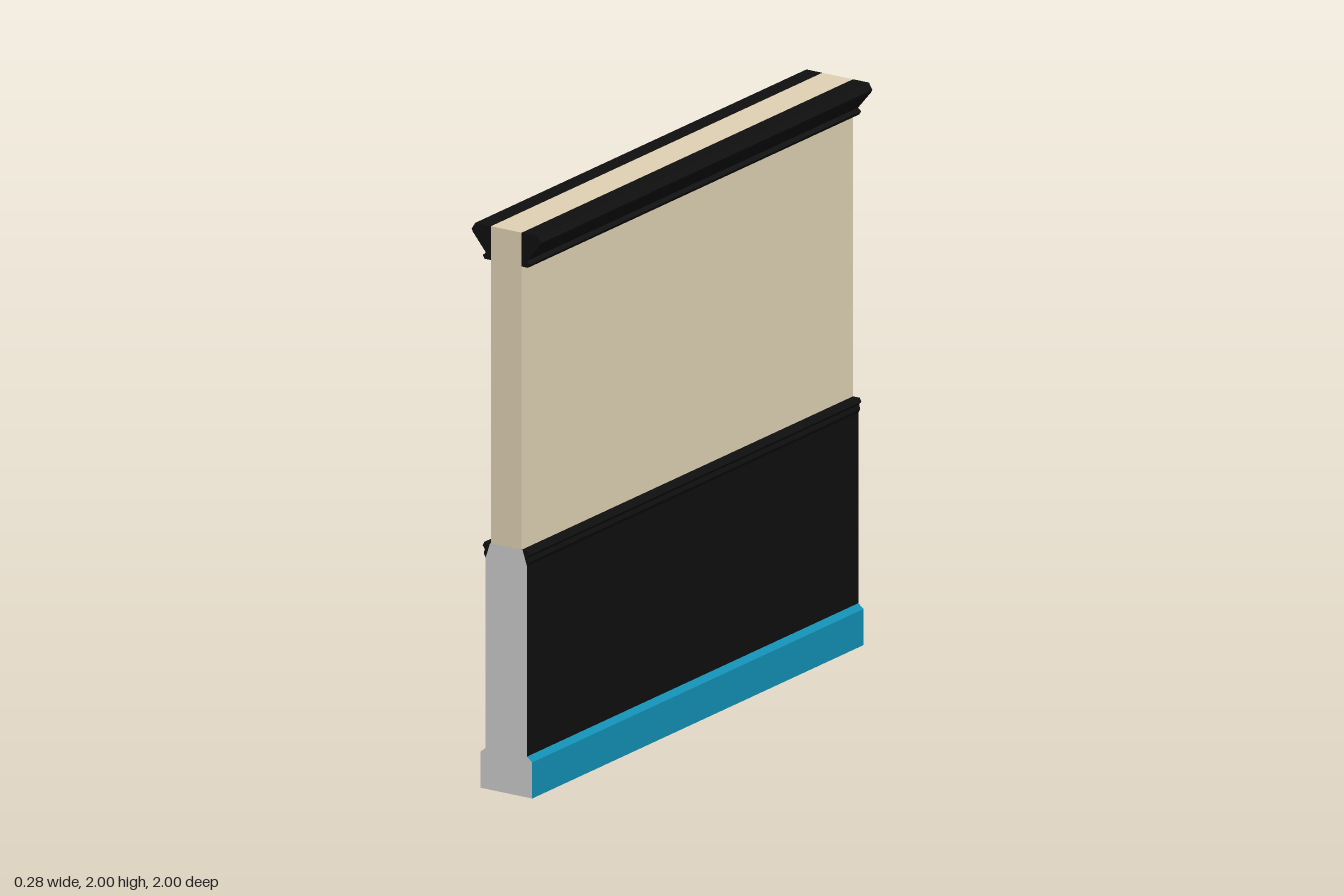
import * as THREE from 'three';

const LENGTH = 2;
const paint = (color) => new THREE.MeshStandardMaterial({ color });

// Extrudes an x/y cross-section along the length of the wall
function extrudeProfile(name, points, material) {
  const shape = new THREE.Shape(points.map(([x, y]) => new THREE.Vector2(x, y)));
  const geometry = new THREE.ExtrudeGeometry(shape, { depth: LENGTH, bevelEnabled: false });
  geometry.translate(0, 0, -LENGTH / 2);
  const mesh = new THREE.Mesh(geometry, material);
  mesh.name = name;
  return mesh;
}

// Closes a right-hand outline into a symmetrical cross-section
const mirrored = (half) => [...half, ...half.map(([x, y]) => [-x, y]).reverse()];

export function createModel() {
  const group = new THREE.Group();
  group.name = 'wallSection';

  const cream = paint(0xdfd1b4);
  const black = paint(0x0f0f0f);
  const teal = paint(0x118fb3);
  const grey = paint(0xcccccc);

  // Upper wall panel
  group.add(extrudeProfile('upperWall',
    mirrored([[0.0625, 0.875], [0.0625, 2]]), cream));

  // Lower panelling, tapered at the top, with bare grey ends
  group.add(extrudeProfile('lowerPanel',
    mirrored([[0.084, 0.14], [0.084, 0.82], [0.066, 0.875]]), [grey, black]));

  // Skirting with a chamfered top edge and bare grey ends
  group.add(extrudeProfile('skirting',
    mirrored([[0.105, 0], [0.105, 0.128], [0.084, 0.145]]), [grey, teal]));

  // Mouldings on both faces
  const crown = [[0.0625, 2], [0.127, 2], [0.141, 1.977], [0.136, 1.967], [0.083, 1.903],
    [0.096, 1.892], [0.088, 1.88], [0.0625, 1.88]];
  const rail = [[0.066, 0.875], [0.09, 0.875], [0.096, 0.862], [0.087, 0.85],
    [0.092, 0.835], [0.084, 0.82]];
  for (const [side, sign] of [['left', 1], ['right', -1]]) {
    const place = (points) => points.map(([x, y]) => [x * sign, y]);
    group.add(extrudeProfile(side + 'CrownMoulding', place(crown), black));
    group.add(extrudeProfile(side + 'DadoRail', place(rail), black));
  }
  return group;
}
